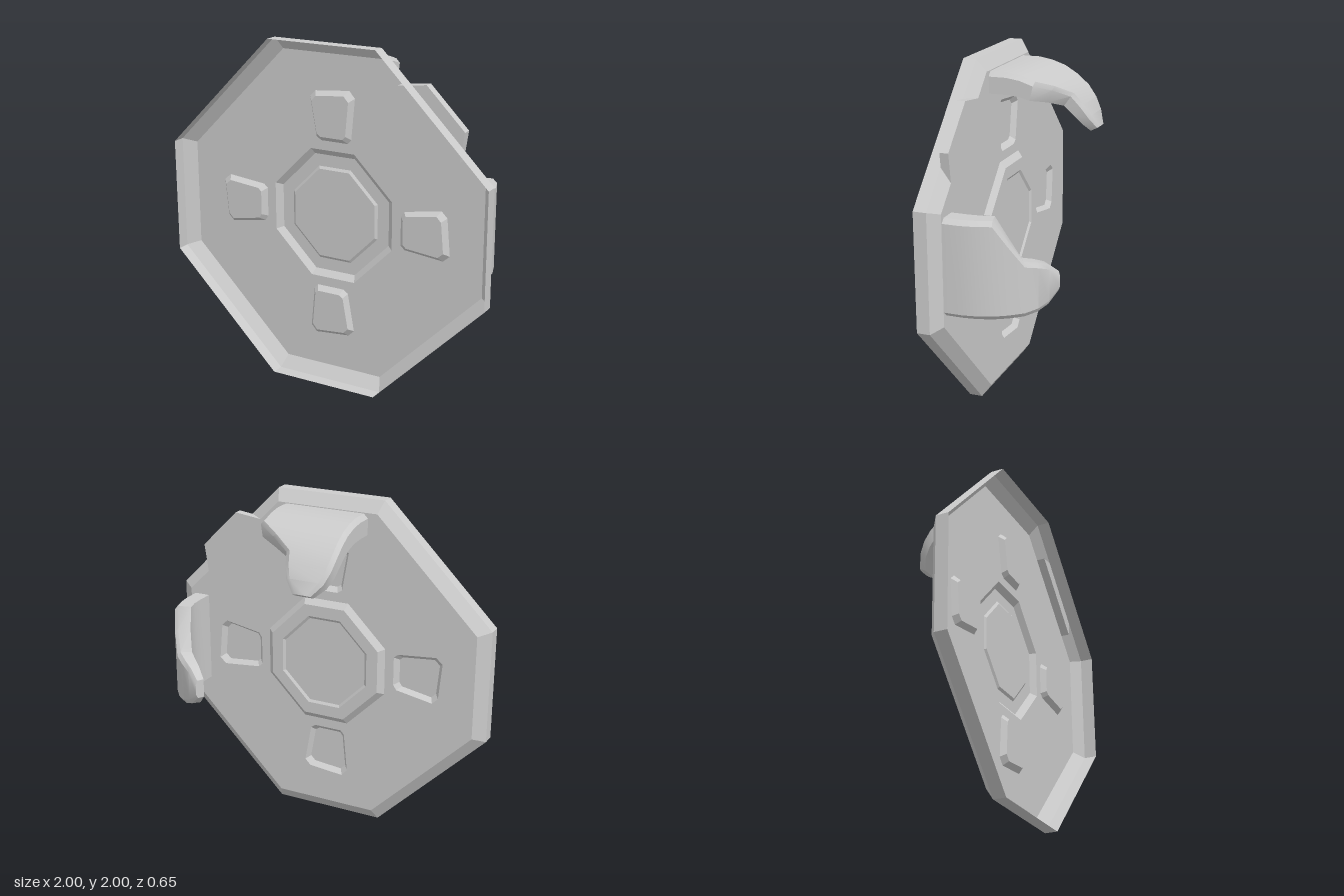
import * as THREE from 'three';
import { toCreasedNormals } from 'three/addons/utils/BufferGeometryUtils.js';

const CY = 1;          // height of the plate centre
const FLOOR = 0.2;     // z of the plate sheet

const sheet = new THREE.MeshStandardMaterial({ color: 0xcccccc, flatShading: true, side: THREE.DoubleSide });
const smooth = new THREE.MeshStandardMaterial({ color: 0xcccccc });

// Joins closed loops of points; the last loop can be capped with a fan.
function loft(loops, { cap = false, flip = false } = {}) {
  const pos = [];
  const tri = (a, b, c) => (flip ? [a, c, b] : [a, b, c]).forEach(p => pos.push(p.x, p.y, p.z));
  const n = loops[0].length;
  for (let i = 0; i < loops.length - 1; i++) {
    for (let j = 0; j < n; j++) {
      const k = (j + 1) % n;
      tri(loops[i][j], loops[i][k], loops[i + 1][j]);
      tri(loops[i + 1][j], loops[i][k], loops[i + 1][k]);
    }
  }
  if (cap) {
    const last = loops[loops.length - 1];
    const mid = new THREE.Vector3();
    last.forEach(p => mid.addScaledVector(p, 1 / n));
    for (let j = 0; j < n; j++) tri(mid, last[j], last[(j + 1) % n]);
  }
  const geo = new THREE.BufferGeometry();
  geo.setAttribute('position', new THREE.Float32BufferAttribute(pos, 3));
  geo.computeVertexNormals();
  return geo;
}

// Octagon with flats at distance r; half the flat length is r * k.
function octagon(r, k) {
  const c = r * k;
  return [[c, r], [r, c], [r, -c], [c, -r], [-c, -r], [-r, -c], [-r, c], [-c, r]]
    .map(([x, y]) => new THREE.Vector2(x, y + CY));
}

const atZ = (pts, z) => pts.map(p => new THREE.Vector3(p.x, p.y, z));

// Outline of one stamped pad, turned about the plate centre by quarter turns.
function padOutline(turn, scale) {
  const pts = [[-0.14, 0.68], [-0.105, 0.715], [0.11, 0.735], [0.145, 0.695],
    [0.122, 0.46], [0.1, 0.435], [-0.07, 0.435], [-0.1, 0.455]];
  return pts.map(([x, y]) => new THREE.Vector2(x * scale, 0.585 + (y - 0.585) * scale)
    .rotateAround(new THREE.Vector2(), turn * Math.PI / 2).add(new THREE.Vector2(0, CY)));
}

// Curved blade: rows of [outer z, outer y, inner z, inner y, min x, max x].
function hookGeometry(mirrored) {
  const rows = [
    [0.2, 1.925, 0.2, 1.805, -0.255, 0.285],
    [0.1, 1.925, 0.1, 1.805, -0.255, 0.285],
    [0.02, 1.912, 0.03, 1.8, -0.255, 0.285],
    [-0.06, 1.885, -0.035, 1.783, -0.255, 0.285],
    [-0.13, 1.843, -0.095, 1.755, -0.255, 0.17],
    [-0.2, 1.785, -0.15, 1.715, -0.255, 0.05],
    [-0.25, 1.72, -0.2, 1.66, -0.245, 0.03],
    [-0.287, 1.655, -0.24, 1.61, -0.22, 0.005],
    [-0.322, 1.585, -0.275, 1.56, -0.16, -0.05],
  ];
  const loops = rows.map(([zo, yo, zi, yi, a, b]) => {
    const ze = zo + (zi - zo) * 0.22, ye = yo + (yi - yo) * 0.22, e = 0.025;
    const ring = [[a, yi, zi], [a, ye, ze], [a + e, yo, zo], [b - e, yo, zo], [b, ye, ze], [b, yi, zi]];
    return ring.map(([x, y, z]) => mirrored
      ? new THREE.Vector3(y - CY, x + CY, z)
      : new THREE.Vector3(x, y, z));
  });
  return toCreasedNormals(loft(loops, { cap: true, flip: mirrored }), 0.55);
}

export function createModel() {
  const model = new THREE.Group();
  const add = (name, geo, mat) => {
    const mesh = new THREE.Mesh(geo, mat);
    mesh.name = name;
    model.add(mesh);
  };

  const rim = 0.335, bossK = 0.37;

  // Outer wall and chamfer of the dished plate
  add('plateRim', loft([
    atZ(octagon(1, rim), 0.325), atZ(octagon(1, rim), 0.25), atZ(octagon(0.93, rim), FLOOR),
  ]), sheet);

  // Flat sheet with openings for the stamped shapes
  const floor = new THREE.Shape(octagon(0.93, rim));
  floor.holes.push(new THREE.Path(octagon(0.38, bossK)));
  for (let i = 0; i < 4; i++) floor.holes.push(new THREE.Path(padOutline(i, 1)));
  add('plateFloor', new THREE.ShapeGeometry(floor).translate(0, 0, FLOOR), sheet);

  // Central boss, pushed towards the back, with a shallow inner step
  add('centreBoss', loft([
    atZ(octagon(0.38, bossK), FLOOR), atZ(octagon(0.345, bossK), 0.17),
    atZ(octagon(0.275, bossK), 0.17), atZ(octagon(0.26, bossK), 0.18),
  ], { cap: true }), sheet);

  // Four pads, pushed towards the front
  for (let i = 0; i < 4; i++) {
    add('pad' + (i + 1), loft([
      atZ(padOutline(i, 1), FLOOR), atZ(padOutline(i, 0.82), 0.23),
    ], { cap: true }), sheet);
  }

  // Corner tab between the two hooks
  const tab = new THREE.Shape([[0.43, 1.81], [0.8, 1.44], [0.825, 1.605], [0.6, 1.83]]
    .map(([x, y]) => new THREE.Vector2(x, y)));
  add('cornerTab', new THREE.ExtrudeGeometry(tab, { depth: 0.05, bevelEnabled: false }).translate(0, 0, FLOOR), sheet);

  // Two curved hooks, mirrored across the diagonal
  add('topHook', hookGeometry(false), smooth);
  add('leftHook', hookGeometry(true), smooth);

  return model;
}
